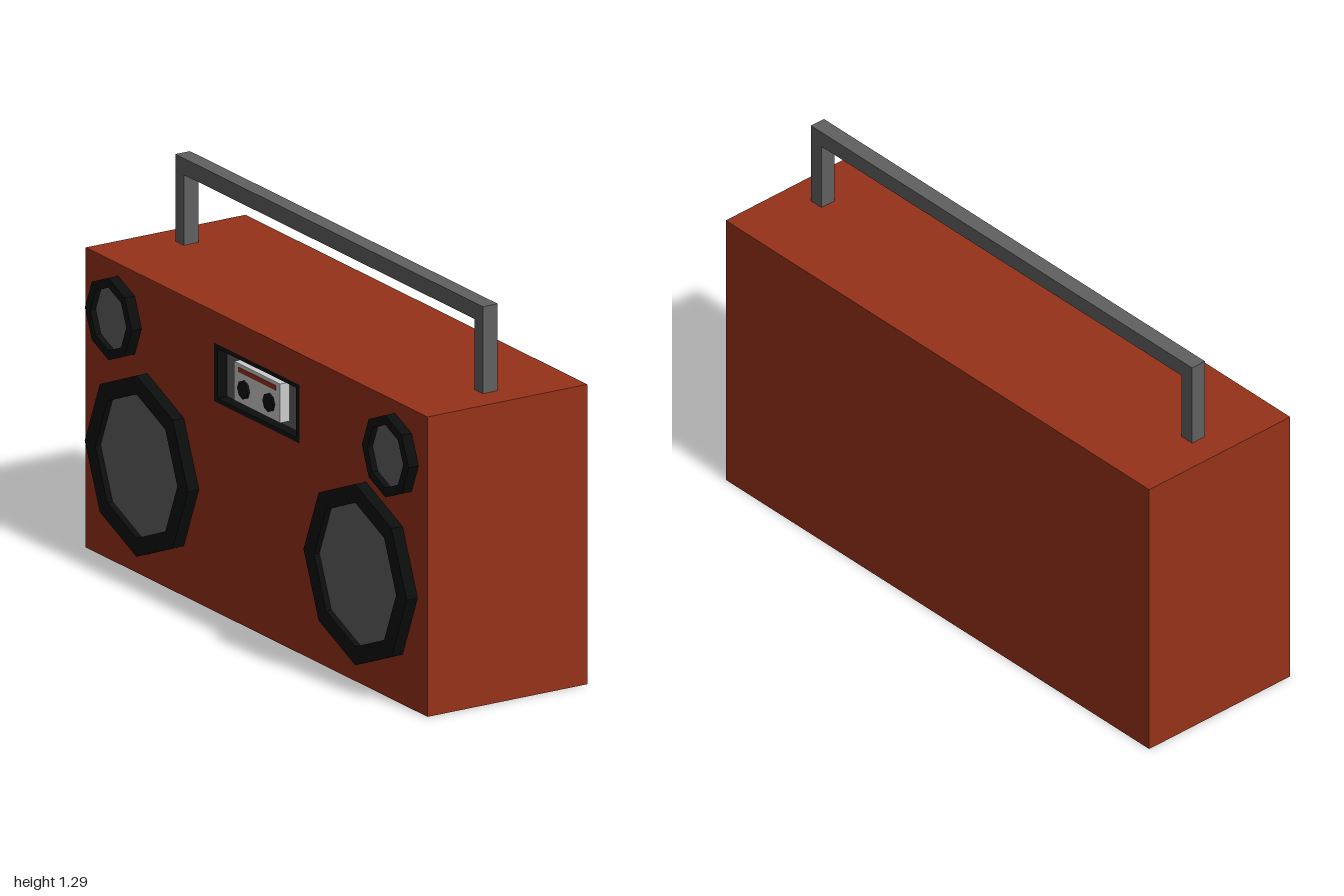
import * as THREE from 'three';

const mat = (color) => new THREE.MeshStandardMaterial({ color, flatShading: true });

export function createModel() {
  const red = mat(0x963219), grey = mat(0x606060), black = mat(0x0b0e0d), pale = mat(0xcccccc);

  // Everything is built facing +z, then the whole radio is turned to face -x
  const radio = new THREE.Group();
  radio.name = 'radio';
  radio.rotation.y = -Math.PI / 2;

  const add = (name, geometry, material, x = 0, y = 0, z = 0, parent = radio) => {
    const mesh = new THREE.Mesh(geometry, material);
    mesh.name = name;
    mesh.position.set(x, y, z);
    parent.add(mesh);
    return mesh;
  };
  const box = (w, h, d) => new THREE.BoxGeometry(w, h, d);
  const rect = (w, y0, y1) => [[-w, y0], [w, y0], [w, y1], [-w, y1]].map(p => new THREE.Vector2(...p));
  const octagon = (r) => Array.from({ length: 8 }, (_, i) =>
    new THREE.Vector2(r * Math.cos(i * Math.PI / 4), r * Math.sin(i * Math.PI / 4)));
  const extrude = (outline, hole, depth) => {
    const shape = new THREE.Shape(outline);
    if (hole) shape.holes.push(new THREE.Path(hole));
    return new THREE.ExtrudeGeometry(shape, { depth, bevelEnabled: false });
  };

  // Case: solid rear and a front panel with the tape deck opening
  add('caseRear', box(2, 1, 0.56), red, 0, 0.5, -0.04);
  add('caseFront', extrude(rect(1, 0, 1), rect(0.25, 0.7, 0.895), 0.04), red, 0, 0, 0.24);

  // Carrying handle
  const u = [[-0.9, 1], [-0.85, 1], [-0.85, 1.235], [0.85, 1.235], [0.85, 1], [0.9, 1], [0.9, 1.29], [-0.9, 1.29]];
  add('handle', extrude(u.map(p => new THREE.Vector2(...p)), null, 0.055), grey, 0, 0, -0.0475);

  // Speakers: octagonal rim around a sunken cone, mirrored left and right
  const speaker = (name, x, y, r, inner, depth) => {
    const group = new THREE.Group();
    group.name = name;
    group.position.set(x, y, 0.28);
    add('rim', extrude(octagon(r), octagon(inner), depth), black, 0, 0, 0, group);
    add('cone', new THREE.CircleGeometry(inner, 8), grey, 0, 0, depth - 0.02, group);
    radio.add(group);
  };
  for (const side of [-1, 1]) {
    speaker('woofer', side * 0.64, 0.38, 0.302, 0.24, 0.041);
    speaker('tweeter', side * 0.81, 0.822, 0.137, 0.105, 0.037);
  }

  // Tape deck: dark liner, grey back plate and a cassette with two reels
  add('deckLiner', extrude(rect(0.25, 0.7, 0.895), rect(0.23, 0.715, 0.88), 0.04), black, 0, 0, 0.24);
  add('deckBack', box(0.46, 0.165, 0.004), grey, 0, 0.7975, 0.242);
  add('cassette', box(0.27, 0.13, 0.036), pale, 0, 0.8, 0.26);
  add('cassetteLabel', box(0.22, 0.016, 0.004), red, 0, 0.845, 0.278);
  for (const side of [-1, 1]) {
    const reel = add('cassetteReel', new THREE.CylinderGeometry(0.031, 0.031, 0.012, 8), black, side * 0.074, 0.787, 0.28);
    reel.rotation.x = Math.PI / 2;
  }

  const model = new THREE.Group();
  model.name = 'portableStereo';
  model.add(radio);
  return model;
}
